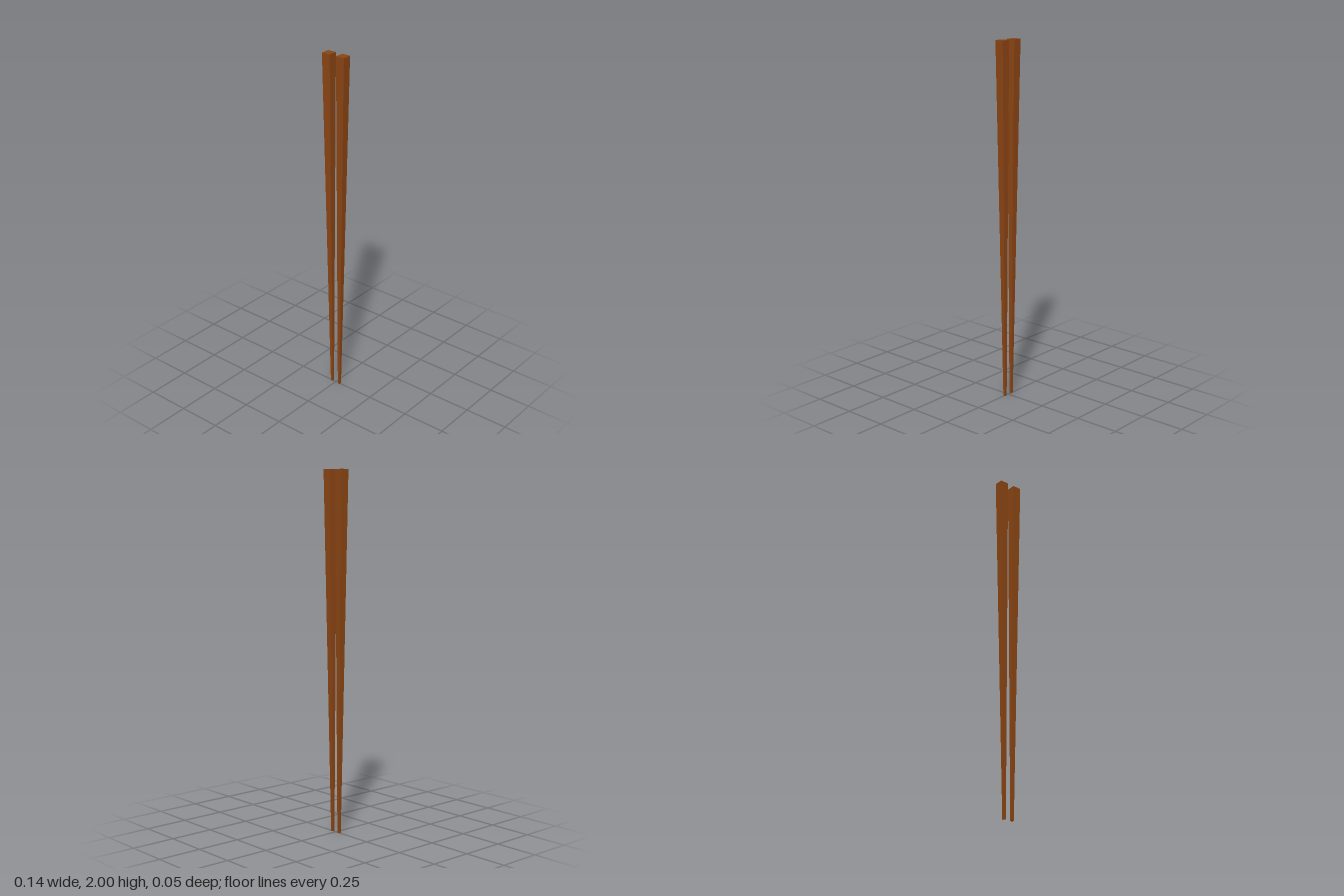
import * as THREE from 'three';

const HEIGHT = 2;
const TOP = { x: 0.0462, width: 0.0505 };
const TIP = { x: 0.0262, width: 0.0133 };

// Square stick tapering to a blunt tip and leaning outwards; side is +1 or -1
function makeStick(side) {
  const geometry = new THREE.BoxGeometry(1, HEIGHT, 1);
  geometry.translate(0, HEIGHT / 2, 0);
  const p = geometry.attributes.position;
  for (let i = 0; i < p.count; i++) {
    const end = p.getY(i) > HEIGHT / 2 ? TOP : TIP;
    p.setX(i, side * end.x + p.getX(i) * end.width);
    p.setZ(i, p.getZ(i) * end.width);
  }
  geometry.computeVertexNormals();
  const material = new THREE.MeshStandardMaterial({ color: 0x8b4513, flatShading: true });
  return new THREE.Mesh(geometry, material);
}

export function createModel() {
  const group = new THREE.Group();
  group.name = 'chopsticks';
  for (const side of [1, -1]) {
    const stick = makeStick(side);
    stick.name = side > 0 ? 'leftChopstick' : 'rightChopstick';
    group.add(stick);
  }
  return group;
}
